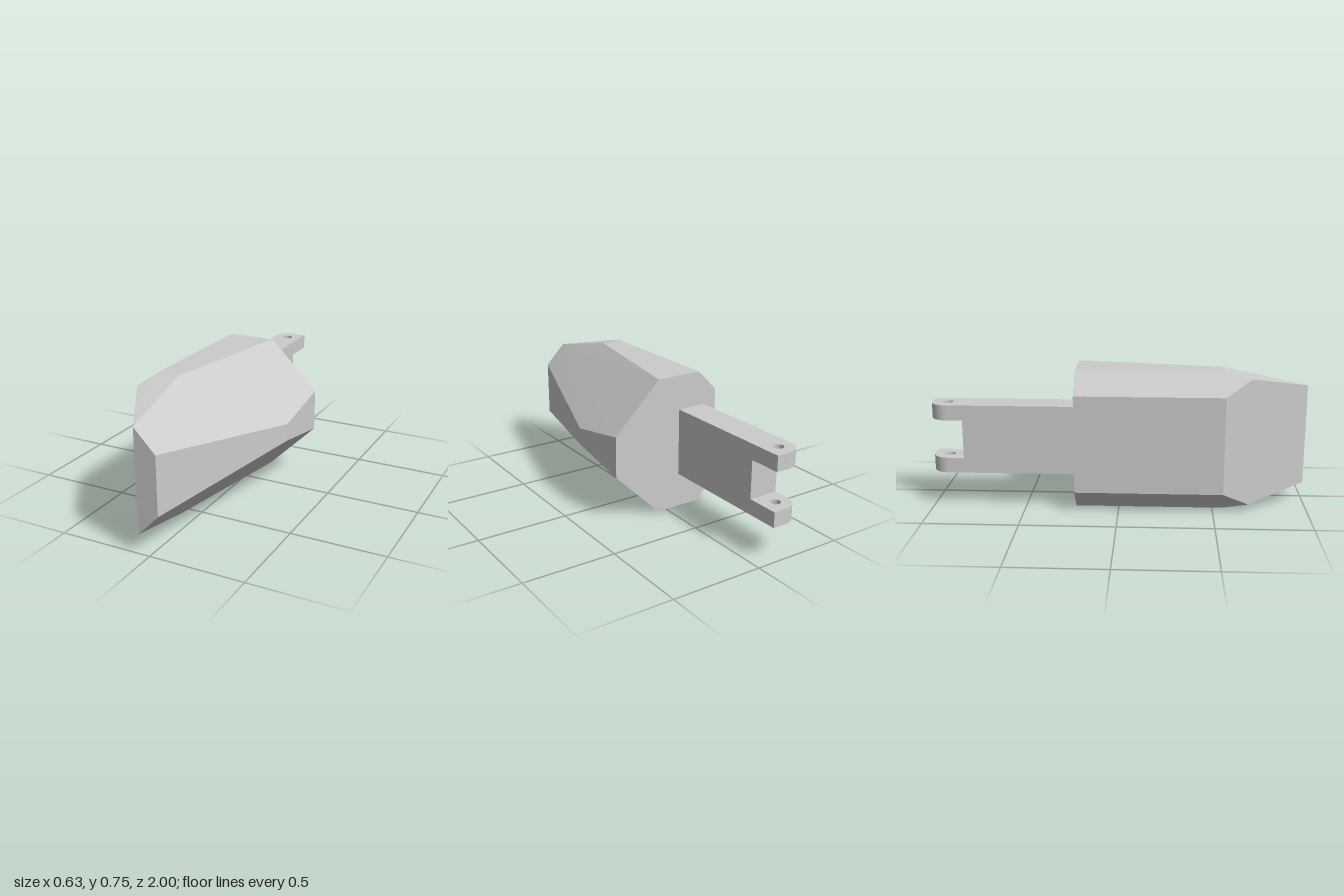
import * as THREE from 'three';
import { ConvexGeometry } from 'three/addons/geometries/ConvexGeometry.js';

const MID_Y = 0.374; // the whole model mirrors above and below this height

export function createModel() {
  const model = new THREE.Group();
  const material = new THREE.MeshStandardMaterial({ color: 0xcccccc, flatShading: true });
  const add = (name, geometry, x = 0, y = 0, z = 0) => {
    const mesh = new THREE.Mesh(geometry, material);
    mesh.name = name;
    mesh.position.set(x, y, z);
    model.add(mesh);
  };

  // Faceted body: corners of the upper half as x, height above the middle, z
  const corners = [
    [-0.318, 0.26, -0.23], [-0.205, 0.374, -0.23], [0.052, 0.374, -0.23], [0.316, 0.112, -0.23],
    [0.316, 0.047, 0.14],
    [-0.318, 0.26, 0.55], [-0.237, 0.341, 0.69], [-0.205, 0.374, 0.55], [-0.087, 0.374, 0.55],
    [-0.058, 0.272, 1], [0.055, 0.155, 1],
  ];
  const points = corners.flatMap(([x, h, z]) =>
    [1, -1].map((side) => new THREE.Vector3(x, MID_Y + side * h, z)));
  add('body', new ConvexGeometry(points));

  // Arm reaching back from the body
  const left = -0.242, right = -0.08, bottom = 0.19, top = 0.56;
  const armStart = 0.23, slotStart = 0.825, armEnd = 1; // distances towards the back
  add('arm', new THREE.BoxGeometry(right - left, top - bottom, slotStart - armStart),
    (left + right) / 2, (top + bottom) / 2, -(armStart + slotStart) / 2);

  // Fork lugs, each with one rounded corner and a pin hole
  const radius = 0.088;
  const plan = new THREE.Shape();
  plan.moveTo(left, slotStart);
  plan.lineTo(right, slotStart);
  plan.lineTo(right, armEnd);
  plan.lineTo(left + radius, armEnd);
  plan.absarc(left + radius, armEnd - radius, radius, Math.PI / 2, Math.PI, false);
  plan.closePath();
  const hole = new THREE.Path();
  hole.absarc(-0.16, 0.914, 0.028, 0, Math.PI * 2, true);
  plan.holes.push(hole);

  const thickness = 0.082;
  const lug = new THREE.ExtrudeGeometry(plan, { depth: thickness, bevelEnabled: false, curveSegments: 8 });
  lug.rotateX(-Math.PI / 2);
  add('lowerLug', lug, 0, bottom, 0);
  add('upperLug', lug, 0, top - thickness, 0);

  return model;
}
